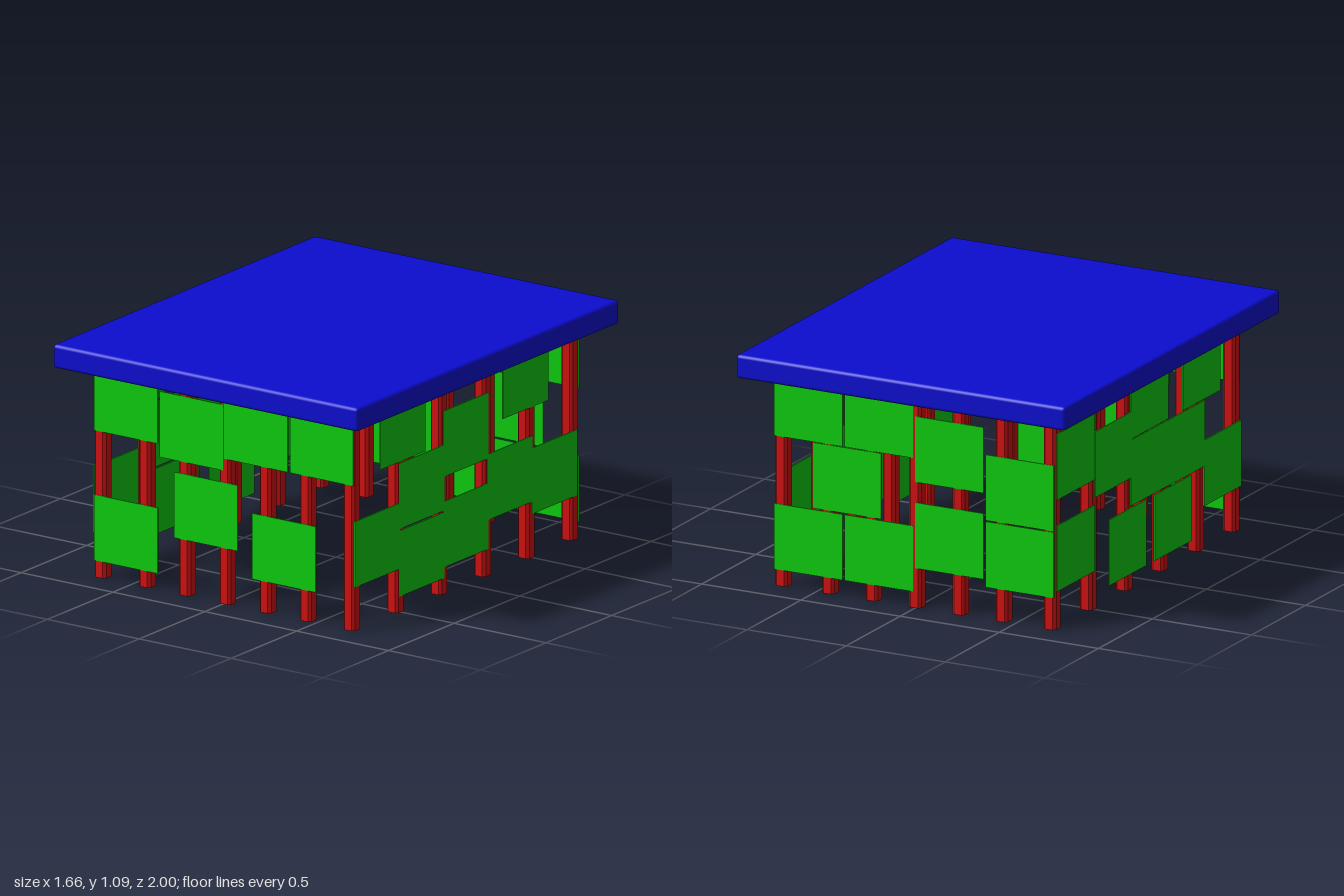
import * as THREE from 'three';
import { RoundedBoxGeometry } from 'three/addons/geometries/RoundedBoxGeometry.js';

const PANEL_W = 0.345, PANEL_H = 0.305, PANEL_T = 0.006;
const POST_H = 0.99, ROOF_BOTTOM = 0.98, ROOF_TOP = 1.09;
const X_FACE = 0.71, Z_FACE = 0.86;

export function createModel() {
  const model = new THREE.Group();
  const blue = new THREE.MeshStandardMaterial({ color: 0x0c0cd0 });
  const red = new THREE.MeshStandardMaterial({ color: 0xd01010, flatShading: true });
  const green = new THREE.MeshStandardMaterial({ color: 0x0ccc0c });

  function add(parent, name, geometry, material, x, y, z) {
    const mesh = new THREE.Mesh(geometry, material);
    mesh.name = name;
    mesh.position.set(x, y, z);
    parent.add(mesh);
    return mesh;
  }

  // Flat roof slab with softened edges
  add(model, 'roofSlab', new RoundedBoxGeometry(1.66, ROOF_TOP - ROOF_BOTTOM, 2, 2, 0.016),
    blue, 0, (ROOF_TOP + ROOF_BOTTOM) / 2, 0);

  // Square posts with chamfered corners around the perimeter
  const h = 0.031, c = 0.019;
  const section = new THREE.Shape([[h, -c], [h, c], [c, h], [-c, h], [-h, c], [-h, -c], [-c, -h], [c, -h]]
    .map(([x, y]) => new THREE.Vector2(x, y)));
  const postGeometry = new THREE.ExtrudeGeometry(section, { depth: POST_H, bevelEnabled: false });
  postGeometry.rotateX(-Math.PI / 2);
  const posts = new THREE.Group();
  posts.name = 'posts';
  model.add(posts);
  const postX = [-0.675, -0.432, -0.214, 0.005, 0.224, 0.443, 0.68];
  for (const z of [-0.83, 0.83])
    for (const x of postX) add(posts, 'endPost', postGeometry, red, x, 0, z);
  for (const z of [-0.497, -0.165, 0.167, 0.499])
    for (const x of [postX[0], postX[6]]) add(posts, 'sidePost', postGeometry, red, x, 0, z);

  // Thin panels: [lowest horizontal coordinate along the wall, bottom height]
  const walls = {
    front: [[-0.7, 0.68], [-0.345, 0.62], [0.008, 0.675], [0.365, 0.675],
      [-0.7, 0.077], [-0.265, 0.26], [0.16, 0.145]],
    back: [[-0.7, 0.46], [-0.7, 0.15], [-0.345, 0.585], [-0.345, 0.185], [0.01, 0.075],
      [0.365, 0.075], [0.17, 0.387], [0.01, 0.695], [0.365, 0.695]],
    left: [[0.315, 0.7], [0.51, 0.203], [0.172, 0.388], [0.172, 0.075], [-0.165, 0.545],
      [-0.165, 0.125], [-0.5, 0.26], [-0.62, 0.7], [-0.84, 0.203]],
    right: [[-0.85, 0.605], [-0.85, 0.18], [-0.5, 0.52], [-0.17, 0.39], [-0.17, 0.7],
      [0.17, 0.388], [0.51, 0.203], [0.315, 0.7], [-0.37, 0.075], [0.05, 0.075]],
  };
  for (const [side, panels] of Object.entries(walls)) {
    const wall = new THREE.Group();
    wall.name = side + 'Panels';
    model.add(wall);
    for (const [start, bottom] of panels) {
      // Panels reaching the roof stop just inside the slab
      const height = Math.min(PANEL_H, ROOF_BOTTOM + 0.01 - bottom);
      const mid = start + PANEL_W / 2, y = bottom + height / 2;
      const sign = side === 'front' || side === 'left' ? 1 : -1;
      if (side === 'front' || side === 'back')
        add(wall, side + 'Panel', new THREE.BoxGeometry(PANEL_W, height, PANEL_T), green, mid, y, sign * Z_FACE);
      else
        add(wall, side + 'Panel', new THREE.BoxGeometry(PANEL_T, height, PANEL_W), green, sign * X_FACE, y, mid);
    }
  }
  return model;
}
